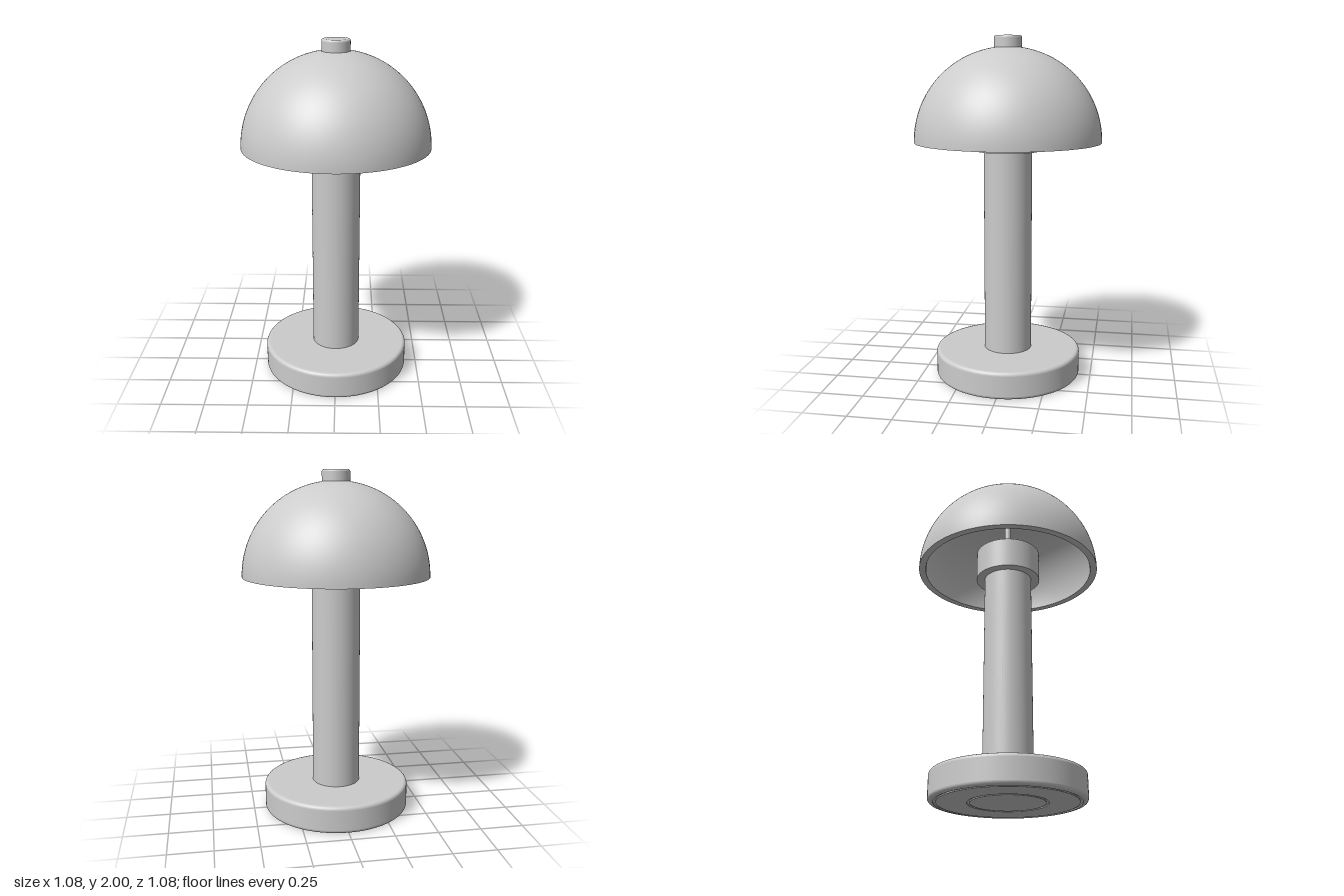
import * as THREE from 'three';
import { mergeGeometries } from 'three/addons/utils/BufferGeometryUtils.js';

const SEGMENTS = 96;
const material = new THREE.MeshStandardMaterial({ color: 0xcccccc });

// Points along an arc in the profile plane (radius, height).
function arc(cx, cy, r, from, to, steps) {
  return Array.from({ length: steps + 1 }, (_, i) => {
    const a = from + ((to - from) * i) / steps;
    return [Math.max(0, cx + r * Math.cos(a)), cy + r * Math.sin(a)];
  });
}

// Revolves each profile section on its own, so edges between sections stay sharp.
function turned(name, sections) {
  const parts = sections.map((points) =>
    new THREE.LatheGeometry(points.map(([x, y]) => new THREE.Vector2(x, y)), SEGMENTS));
  const mesh = new THREE.Mesh(mergeGeometries(parts), material);
  mesh.name = name;
  return mesh;
}

// Straight sections joining consecutive profile points.
function straight(points) {
  return points.slice(1).map((p, i) => [points[i], p]);
}

// Side and top of a disc with rounded edges, starting at its bottom edge.
function roundedSide(radius, bottom, top, bevel) {
  const r = radius - bevel;
  return [
    arc(r, bottom + bevel, bevel, -Math.PI / 2, 0, 6),
    [[radius, bottom + bevel], [radius, top - bevel]],
    arc(r, top - bevel, bevel, 0, Math.PI / 2, 6),
    [[r, top], [0, top]],
  ];
}

function cylinder(name, radius, bottom, top) {
  return turned(name, straight([[0, bottom], [radius, bottom], [radius, top], [0, top]]));
}

export function createModel() {
  const lamp = new THREE.Group();
  lamp.name = 'tableLamp';

  // Heavy round base, with two shallow grooves underneath
  const underside = straight([
    [0, 0], [0.205, 0], [0.205, 0.006], [0.22, 0.006], [0.22, 0],
    [0.385, 0], [0.385, 0.006], [0.4, 0.006], [0.4, 0], [0.41, 0],
  ]);
  lamp.add(turned('base', [...underside, ...roundedSide(0.43, 0, 0.16, 0.02)]));

  // Column, socket collar and the thin rod carrying the shade
  lamp.add(cylinder('stem', 0.14, 0.15, 1.4));
  lamp.add(cylinder('collar', 0.19, 1.35, 1.53));
  lamp.add(cylinder('shadeRod', 0.02, 1.52, 1.92));

  // Thick hemispherical shade: inner dome, flat rim, outer dome
  lamp.add(turned('shade', [
    arc(0, 1.4, 0.5, Math.PI / 2, 0, 40),
    [[0.5, 1.4], [0.54, 1.4]],
    arc(0, 1.4, 0.54, 0, Math.PI / 2, 40),
  ]));

  // Knob on top
  lamp.add(turned('finial', [[[0, 1.91], [0.068, 1.91]], ...roundedSide(0.08, 1.91, 2, 0.012)]));

  return lamp;
}
